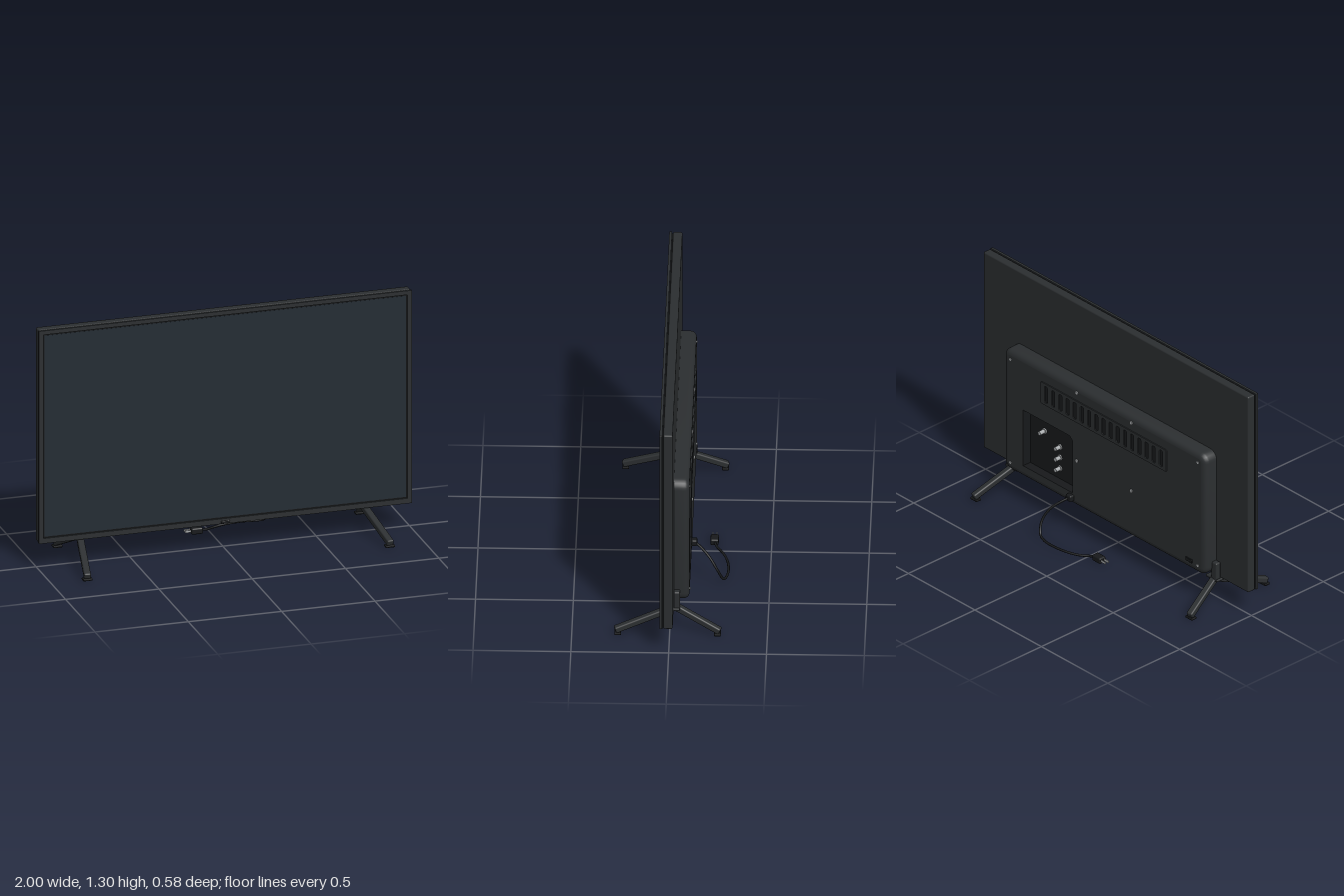
import * as THREE from 'three';
import { toCreasedNormals } from 'three/addons/utils/BufferGeometryUtils.js';
import { RoundedBoxGeometry } from 'three/addons/geometries/RoundedBoxGeometry.js';

const mat = (color, side = THREE.FrontSide) => new THREE.MeshStandardMaterial({ color, side });
const shell = mat(0x2b2e30, THREE.DoubleSide);
const dark = mat(0x17191b, THREE.DoubleSide);
const glass = mat(0x232b33);
const metal = mat(0xa8abad);

// Outline of a rounded rectangle, as points
function roundRect(x0, y0, x1, y1, r, n = 6) {
  const pts = [];
  [[x1 - r, y1 - r], [x0 + r, y1 - r], [x0 + r, y0 + r], [x1 - r, y0 + r]].forEach(([cx, cy], q) => {
    for (let i = 0; i <= n; i++) {
      const a = (q + i / n) * Math.PI / 2;
      pts.push(new THREE.Vector2(cx + r * Math.cos(a), cy + r * Math.sin(a)));
    }
  });
  return pts;
}

// Walls through rounded rectangles, one per [inset, z] section
function loftWalls(x0, y0, x1, y1, r, sections) {
  const pos = [], index = [];
  let n = 0;
  sections.forEach(([inset, z], s) => {
    const ring = roundRect(x0 + inset, y0 + inset, x1 - inset, y1 - inset, r - inset);
    n = ring.length;
    ring.forEach((p, i) => {
      pos.push(p.x, p.y, z);
      if (s === 0) return;
      const a = (s - 1) * n + i, b = (s - 1) * n + (i + 1) % n;
      index.push(a, a + n, b, b, a + n, b + n);
    });
  });
  const g = new THREE.BufferGeometry();
  g.setAttribute('position', new THREE.Float32BufferAttribute(pos, 3));
  g.setIndex(index);
  return toCreasedNormals(g, 0.7);
}

export function createModel() {
  const model = new THREE.Group();
  const add = (name, geo, material, x = 0, y = 0, z = 0) => {
    const m = new THREE.Mesh(geo, material);
    m.name = name;
    m.position.set(x, y, z);
    model.add(m);
    return m;
  };
  const box = (name, w, h, d, x, y, z, material = shell, r = 0) =>
    add(name, r ? new RoundedBoxGeometry(w, h, d, 2, r) : new THREE.BoxGeometry(w, h, d), material, x, y, z);
  const pin = (name, r, len, x, y, z, material = metal) => {
    const m = add(name, new THREE.CylinderGeometry(r, r, len, 16), material, x, y, z);
    m.rotation.x = Math.PI / 2;
    return m;
  };

  // Display panel, front frame and screen
  box('panelBody', 1.995, 1.16, 0.048, 0, 0.72, 0.004, shell, 0.008);
  box('frameGap', 1.98, 1.145, 0.008, 0, 0.72, 0.03, dark);
  const frame = new THREE.Shape(roundRect(-1, 0.14, 1, 1.3, 0.004, 2));
  frame.holes.push(new THREE.Path(roundRect(-0.975, 0.168, 0.975, 1.278, 0.002, 2).reverse()));
  add('frontFrame', new THREE.ExtrudeGeometry(frame, { depth: 0.014, bevelEnabled: false }), shell, 0, 0, 0.033);
  box('screenBorder', 1.95, 1.11, 0.003, 0, 0.723, 0.0375, dark);
  box('screen', 1.936, 1.096, 0.004, 0, 0.723, 0.0385, glass);
  box('remoteSensor', 0.05, 0.016, 0.012, 0, 0.148, 0.044, dark, 0.003);

  // Rear housing with a soft rim and an opening for the sockets
  const rim = [[0, -0.018], [0, -0.068]];
  for (let i = 1; i <= 5; i++) {
    const a = i / 5 * Math.PI / 2;
    rim.push([0.032 * (1 - Math.cos(a)), -0.068 - 0.032 * Math.sin(a)]);
  }
  add('housingWalls', loftWalls(-0.76, 0.16, 0.76, 0.875, 0.05, rim), shell);
  const back = new THREE.Shape(roundRect(-0.728, 0.192, 0.728, 0.843, 0.018));
  back.holes.push(new THREE.Path(
    [[0.24, 0.23], [0.24, 0.54], [0.26, 0.56], [0.61, 0.56], [0.61, 0.23]].map(p => new THREE.Vector2(...p))));
  const backGeo = new THREE.ShapeGeometry(back);
  backGeo.index.array.reverse();
  backGeo.attributes.normal.array.forEach((v, i, arr) => { arr[i] = -v; });
  add('housingBack', backGeo, shell, 0, 0, -0.1);
  const recess = new THREE.BoxGeometry(0.37, 0.33, 0.05);
  recess.setIndex([...recess.index.array].slice(0, 30));
  add('socketRecess', recess, dark, 0.425, 0.395, -0.075);

  // Sockets
  pin('aerialNut', 0.016, 0.008, 0.5, 0.465, -0.054);
  pin('aerialSocket', 0.011, 0.04, 0.5, 0.465, -0.07);
  for (const y of [0.42, 0.357, 0.294]) {
    pin('audioSocketCollar', 0.016, 0.006, 0.385, y, -0.053);
    pin('audioSocket', 0.011, 0.036, 0.385, y, -0.068);
  }

  // Vent grille with upright slots
  const vent = new THREE.Shape(roundRect(-0.472, 0.665, 0.472, 0.793, 0.006, 2));
  for (let i = -8; i <= 8; i++) {
    const x = i * 0.054;
    vent.holes.push(new THREE.Path(roundRect(x - 0.012, 0.681, x + 0.012, 0.777, 0.008, 3).reverse()));
  }
  add('ventGrille', new THREE.ExtrudeGeometry(vent, { depth: 0.006, bevelEnabled: false }), shell, 0, 0, -0.106);
  box('ventShadow', 0.93, 0.116, 0.002, 0, 0.729, -0.1005, dark);

  // Screws and rear button
  for (const x of [-1, 1]) {
    for (const y of [0.845, 0.435]) pin('wallMountScrew', 0.01, 0.02, x * 0.205, Math.min(y, 0.838), -0.095);
    for (const y of [0.82, 0.208]) pin('cornerScrew', 0.007, 0.006, x * 0.705, y, -0.1);
  }
  box('rearSwitch', 0.05, 0.02, 0.008, -0.64, 0.215, -0.102, dark, 0.003);

  // Stand: bracket, mounting plate and two splayed legs on each side
  for (const s of [-1, 1]) {
    box('standBracket', 0.04, 0.11, 0.032, s * 0.772, 0.18, -0.036, shell, 0.008);
    box('standPlate', 0.09, 0.014, 0.07, s * 0.755, 0.135, -0.016, shell, 0.005);
    for (const [z0, z1] of [[-0.03, 0.265], [-0.03, -0.245]]) {
      const a = new THREE.Vector3(s * 0.758, 0.132, z0);
      const b = new THREE.Vector3(s * 0.81, 0.027, z1);
      const leg = add('standLeg', new RoundedBoxGeometry(0.036, 0.034, a.distanceTo(b) + 0.03, 2, 0.008), shell);
      leg.position.copy(a).lerp(b, 0.5);
      leg.lookAt(b);
      box('standFoot', 0.05, 0.012, 0.034, s * 0.81, 0.006, z1, dark, 0.004);
    }
  }

  // Power cord and plug
  box('cordOutlet', 0.04, 0.036, 0.03, 0.245, 0.205, -0.112, dark, 0.008);
  const path = new THREE.CatmullRomCurve3([
    [0.245, 0.205, -0.115], [0.27, 0.185, -0.15], [0.305, 0.145, -0.195], [0.324, 0.08, -0.235],
    [0.305, 0.022, -0.262], [0.26, 0.012, -0.279], [0.19, 0.012, -0.286], [0.1, 0.012, -0.275],
    [0.03, 0.012, -0.25], [-0.02, 0.016, -0.22], [-0.055, 0.022, -0.208],
  ].map(p => new THREE.Vector3(...p)));
  add('powerCord', new THREE.TubeGeometry(path, 80, 0.0065, 8), dark);
  box('plug', 0.062, 0.034, 0.042, -0.076, 0.022, -0.208, dark, 0.008);
  for (const z of [-0.218, -0.198]) box('plugProng', 0.036, 0.012, 0.004, -0.122, 0.023, z, metal);

  return model;
}
